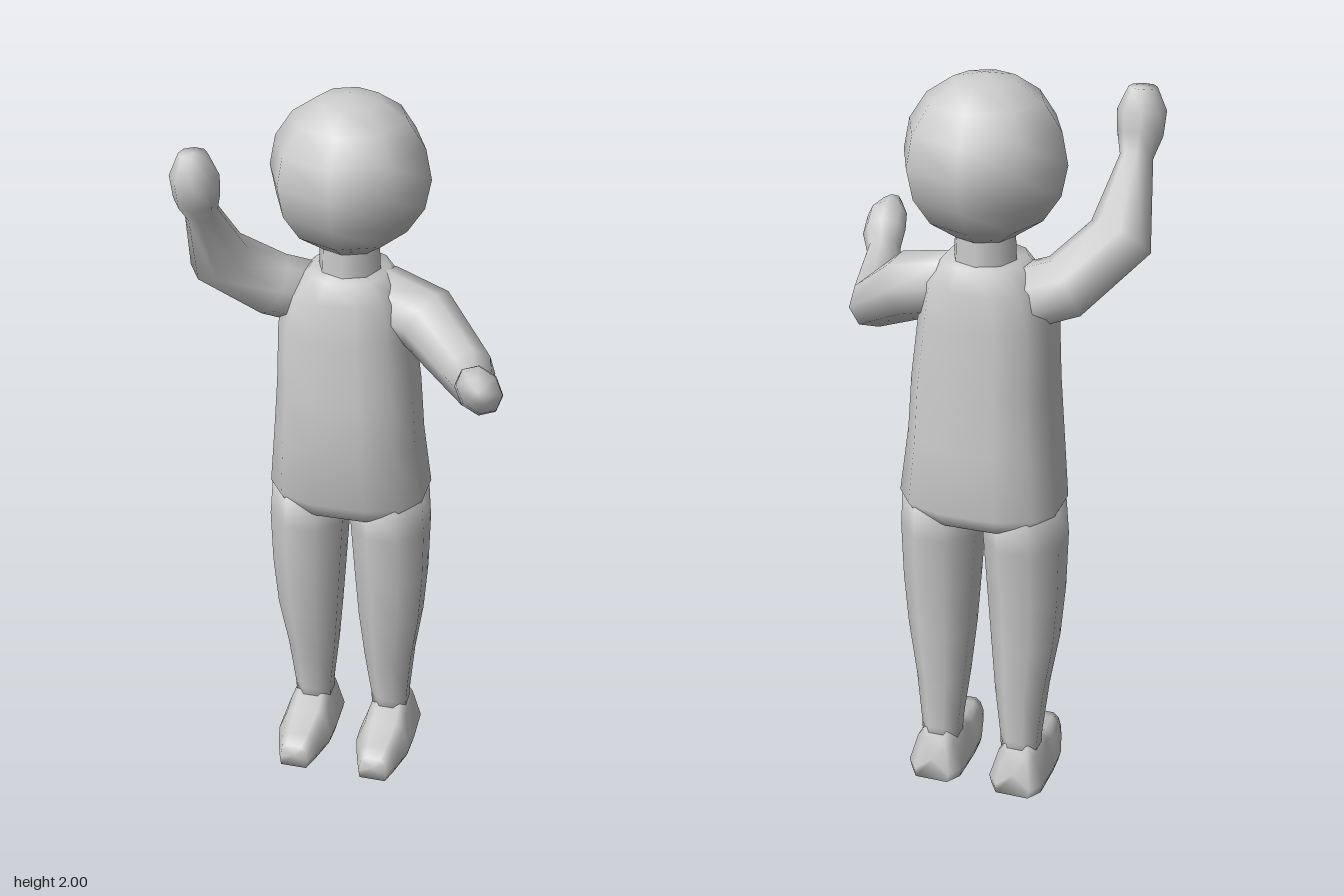
import * as THREE from 'three';

const material = new THREE.MeshStandardMaterial({ color: 0xcccccc });
const CX = -0.05; // body mid-plane

// Skin a list of equal-sized rings, closing both ends with a fan
function loft(name, rings) {
  const n = rings[0].length, pos = [], idx = [];
  rings.forEach(r => r.forEach(p => pos.push(p.x, p.y, p.z)));
  for (let i = 0; i < rings.length - 1; i++) {
    for (let j = 0; j < n; j++) {
      const a = i * n + j, b = i * n + (j + 1) % n;
      idx.push(a, b, a + n, b, b + n, a + n);
    }
  }
  [0, rings.length - 1].forEach(i => {
    const c = rings[i].reduce((s, p) => s.add(p), new THREE.Vector3()).divideScalar(n);
    const k = pos.length / 3;
    pos.push(c.x, c.y, c.z);
    for (let j = 0; j < n; j++) {
      const a = i * n + j, b = i * n + (j + 1) % n;
      idx.push(k, ...(i ? [a, b] : [b, a]));
    }
  });
  const g = new THREE.BufferGeometry();
  g.setAttribute('position', new THREE.Float32BufferAttribute(pos, 3));
  g.setIndex(idx);
  g.computeVertexNormals();
  const mesh = new THREE.Mesh(g, material);
  mesh.name = name;
  return mesh;
}

// Horizontal rounded ring from its extents; power < 1 makes it boxier
function levelRing([y, x0, x1, z0, z1], sides, power = 1) {
  const soft = v => Math.sign(v) * Math.abs(v) ** power;
  return Array.from({ length: sides }, (_, j) => {
    const a = -(j + 0.5) / sides * Math.PI * 2, s = 1 / Math.cos(Math.PI / sides) ** power;
    return new THREE.Vector3(
      (x0 + x1) / 2 + soft(Math.cos(a)) * s * (x1 - x0) / 2, y,
      (z0 + z1) / 2 + soft(Math.sin(a)) * s * (z1 - z0) / 2);
  });
}

// Limb of octagonal rings [x, y, z, radius across the bend, radius in the bend],
// all framed by the plane in which the limb bends
function limb(name, path, normal) {
  const P = path.map(p => new THREE.Vector3(p[0], p[1], p[2]));
  return loft(name, path.map((p, i) => {
    const t = new THREE.Vector3();
    if (i > 0) t.add(P[i].clone().sub(P[i - 1]).normalize());
    if (i < P.length - 1) t.add(P[i + 1].clone().sub(P[i]).normalize());
    t.normalize();
    const v = t.clone().cross(normal).normalize();
    const u = v.clone().cross(t);
    return Array.from({ length: 8 }, (_, j) => {
      const a = j / 8 * Math.PI * 2;
      return P[i].clone().addScaledVector(u, Math.cos(a) * p[3]).addScaledVector(v, Math.sin(a) * p[4]);
    });
  }));
}

function bendNormal(a, b, c) {
  const [s, e, w] = [a, b, c].map(p => new THREE.Vector3(p[0], p[1], p[2]));
  return e.clone().sub(s).cross(w.sub(e)).normalize();
}

export function createModel() {
  const model = new THREE.Group();

  // Head and neck
  const head = new THREE.Mesh(new THREE.SphereGeometry(0.211, 8, 8), material);
  head.name = 'head';
  head.position.set(CX, 1.789, -0.133);
  model.add(head);
  const neck = new THREE.Mesh(new THREE.CylinderGeometry(0.078, 0.085, 0.16, 8, 1, true), material);
  neck.name = 'neck';
  neck.position.set(CX, 1.55, -0.13);
  model.add(neck);

  // Torso: y, left and right edge, back and front edge
  model.add(loft('torso', [
    [0.79, -0.16, 0.06, -0.21, -0.06],
    [0.82, -0.24, 0.14, -0.26, -0.015],
    [0.87, -0.265, 0.165, -0.295, 0.012],
    [1.05, -0.245, 0.145, -0.285, 0.04],
    [1.2, -0.235, 0.135, -0.278, 0.033],
    [1.37, -0.23, 0.115, -0.265, 0.018],
    [1.47, -0.205, 0.1, -0.255, 0.0],
    [1.53, -0.15, 0.05, -0.235, -0.02],
  ].map(r => levelRing(r, 12, 0.8))));

  // Legs and feet, mirrored about the body mid-plane
  for (const [side, m] of [['left', 1], ['right', -1]]) {
    const across = r => [r[0], CX + Math.min(m * r[1], m * r[2]), CX + Math.max(m * r[1], m * r[2]), r[3], r[4]];
    model.add(loft(side + 'Leg', [
      [0.09, 0.065, 0.165, -0.22, -0.105],
      [0.15, 0.062, 0.168, -0.22, -0.10],
      [0.3, 0.045, 0.182, -0.228, -0.072],
      [0.45, 0.032, 0.205, -0.23, -0.048],
      [0.6, 0.022, 0.216, -0.24, -0.033],
      [0.76, 0.012, 0.219, -0.252, -0.02],
      [0.88, 0.008, 0.21, -0.26, -0.02],
    ].map(r => levelRing(across(r), 8))));

    // Foot sections from heel to toe: z, half widths at sole and top, height
    const fx = CX + m * 0.118;
    model.add(loft(side + 'Foot', [
      [-0.254, -0.232, 0.05, 0.036, 0.115],
      [-0.215, -0.212, 0.078, 0.052, 0.14],
      [-0.11, -0.11, 0.082, 0.056, 0.128],
      [-0.05, -0.06, 0.08, 0.058, 0.1],
      [0.03, 0.03, 0.058, 0.046, 0.08],
      [0.08, 0.072, 0.041, 0.036, 0.068],
    ].map(([z, zt, w, wt, h]) => [
      [-w * 0.92, 0, z], [w * 0.92, 0, z], [w, 0.025, z], [wt, h * 0.8, zt],
      [wt * 0.6, h, zt], [-wt * 0.6, h, zt], [-wt, h * 0.8, zt], [-w, 0.025, z],
    ].map(([x, y, zz]) => new THREE.Vector3(fx + x, y, zz)))));
  }

  // Raised right arm and outstretched left arm, shoulder to fingertips
  const rightArm = [
    [-0.13, 1.43, -0.14, 0.085, 0.085],
    [-0.25, 1.465, -0.105, 0.085, 0.085],
    [-0.365, 1.575, -0.01, 0.075, 0.085],
    [-0.37, 1.75, 0.1, 0.042, 0.042],
    [-0.37, 1.8, 0.13, 0.058, 0.058],
    [-0.37, 1.86, 0.14, 0.062, 0.062],
    [-0.37, 1.918, 0.142, 0.034, 0.036],
  ];
  const leftArm = [
    [0.03, 1.45, -0.14, 0.085, 0.085],
    [0.16, 1.415, -0.105, 0.09, 0.09],
    [0.295, 1.32, -0.01, 0.07, 0.08],
    [0.35, 1.38, 0.19, 0.045, 0.048],
    [0.365, 1.415, 0.235, 0.055, 0.066],
    [0.375, 1.445, 0.285, 0.05, 0.064],
    [0.38, 1.465, 0.332, 0.026, 0.036],
  ];
  model.add(limb('rightArm', rightArm, bendNormal(rightArm[1], rightArm[2], rightArm[3])));
  model.add(limb('leftArm', leftArm, bendNormal(leftArm[1], leftArm[2], leftArm[3])));
  return model;
}
